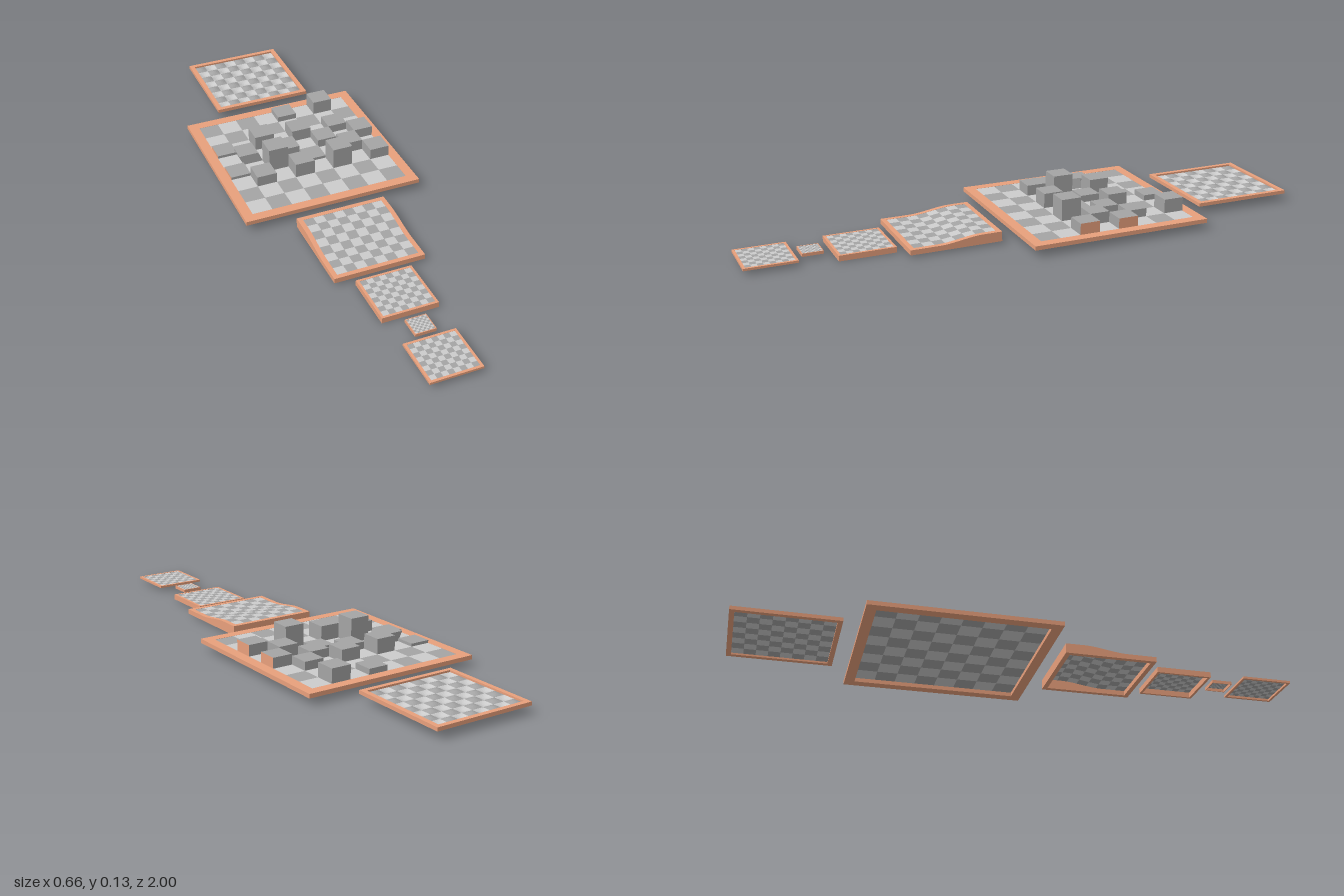
import * as THREE from 'three';
import { mergeGeometries } from 'three/addons/utils/BufferGeometryUtils.js';

const wood = new THREE.MeshStandardMaterial({ color: 0xe8a07c });
const light = new THREE.MeshStandardMaterial({ color: 0xcccccc, side: THREE.DoubleSide });
const dark = new THREE.MeshStandardMaterial({ color: 0xa4a4a4, side: THREE.DoubleSide });

function mesh(geometry, material, name) {
  const m = new THREE.Mesh(geometry, material);
  m.name = name;
  return m;
}

// Move vertices by a rule, then shade flat
function reshape(geometry, rule) {
  const g = geometry.toNonIndexed();
  const p = g.attributes.position;
  const v = new THREE.Vector3();
  for (let i = 0; i < p.count; i++) {
    v.fromBufferAttribute(p, i);
    rule(v);
    p.setXYZ(i, v.x, v.y, v.z);
  }
  g.computeVertexNormals();
  return g;
}

// One checkered board: frame of four bars and an 8 x 8 field
function board({ name, half, z, border, bottom, top, rise = () => 0, ripple = null, segments = 1 }) {
  const group = new THREE.Group();
  group.name = name;
  const inner = half - border;
  const height = top - bottom;

  const bar = (w, d, x, zz) => reshape(
    new THREE.BoxGeometry(w, height, d, 1, 1, 24).translate(x, bottom + height / 2, zz),
    v => { if (v.y > bottom + height / 2) v.y += rise(v.z); });
  const bars = [];
  for (const s of [-1, 1]) {
    bars.push(bar(border, half * 2, s * (half - border / 2), z));
    bars.push(bar(inner * 2, border, 0, z + s * (half - border / 2)));
  }
  group.add(mesh(mergeGeometries(bars), wood, 'frame'));

  const size = inner / 4;
  const fields = [[], []];
  for (let r = 0; r < 8; r++) {
    for (let c = 0; c < 8; c++) {
      const square = new THREE.PlaneGeometry(size, size, segments, segments)
        .rotateX(-Math.PI / 2)
        .translate(-inner + (c + 0.5) * size, top - 0.0005, z - inner + (r + 0.5) * size);
      fields[(r + c) % 2].push(reshape(square, v => {
        v.y += rise(v.z);
        if (ripple) v.y += ripple((v.x + inner) / size, (v.z - z + inner) / size);
      }));
    }
  }
  group.add(mesh(mergeGeometries(fields[0]), dark, 'darkSquares'));
  group.add(mesh(mergeGeometries(fields[1]), light, 'lightSquares'));
  return group;
}

export function createModel() {
  const model = new THREE.Group();
  model.name = 'checkeredBoards';

  // Board with a rippled, woven-looking field
  model.add(board({
    name: 'rippledBoard', half: 0.184, z: -0.816, border: 0.017, bottom: 0.028, top: 0.041, segments: 6,
    ripple: (u, v) => -0.006 + 0.006 * Math.sin(Math.PI * u) * Math.sin(Math.PI * v),
  }));

  // Large board with raised squares
  const large = board({ name: 'largeBoard', half: 0.329, z: -0.245, border: 0.036, bottom: 0.025, top: 0.04 });
  model.add(large);
  const cell = 0.293 / 4;
  // row, column, top height
  const raised = [
    [0, 4, 0.06], [0, 6, 0.09],
    [2, 0, 0.05], [2, 2, 0.093], [2, 4, 0.083], [2, 6, 0.07],
    [3, 1, 0.075], [3, 3, 0.065], [3, 5, 0.07], [3, 7, 0.077],
    [4, 0, 0.05], [4, 2, 0.126], [4, 4, 0.05], [4, 6, 0.08],
    [5, 1, 0.078], [5, 3, 0.093], [5, 5, 0.117], [5, 7, 0.08],
  ];
  for (const [r, c, y] of raised) {
    const h = y - 0.04;
    const box = new THREE.BoxGeometry(cell, h, cell);
    // One block leans sideways
    if (r === 3 && c === 1) {
      const p = box.attributes.position;
      for (let i = 0; i < p.count; i++) {
        if (p.getY(i) > 0) {
          p.setX(i, p.getX(i) - 0.014);
          p.setZ(i, p.getZ(i) - 0.004);
        }
      }
      box.computeVertexNormals();
    }
    // Walls that meet the frame take the frame's colour
    const faces = [c === 7 ? wood : dark, c === 0 ? wood : dark, dark, dark, dark, dark];
    const block = mesh(box, faces, 'raisedSquare');
    block.position.set(-0.293 + (c + 0.5) * cell, 0.04 + h / 2, -0.245 - 0.293 + (r + 0.5) * cell);
    large.add(block);
  }

  // Board that ramps up toward the back
  model.add(board({
    name: 'rampBoard', half: 0.164, z: 0.298, border: 0.017, bottom: 0.008, top: 0.026, segments: 4,
    rise: z => 0.017 * THREE.MathUtils.smoothstep(-z, -0.36, -0.2),
  }));

  // Small flat boards toward the front
  model.add(board({ name: 'mediumBoard', half: 0.1, z: 0.588, border: 0.009, bottom: 0, top: 0.02 }));
  model.add(board({ name: 'tinyBoard', half: 0.037, z: 0.758, border: 0.003, bottom: 0.01, top: 0.021 }));
  model.add(board({ name: 'frontBoard', half: 0.091, z: 0.909, border: 0.009, bottom: 0.014, top: 0.022 }));
  return model;
}
